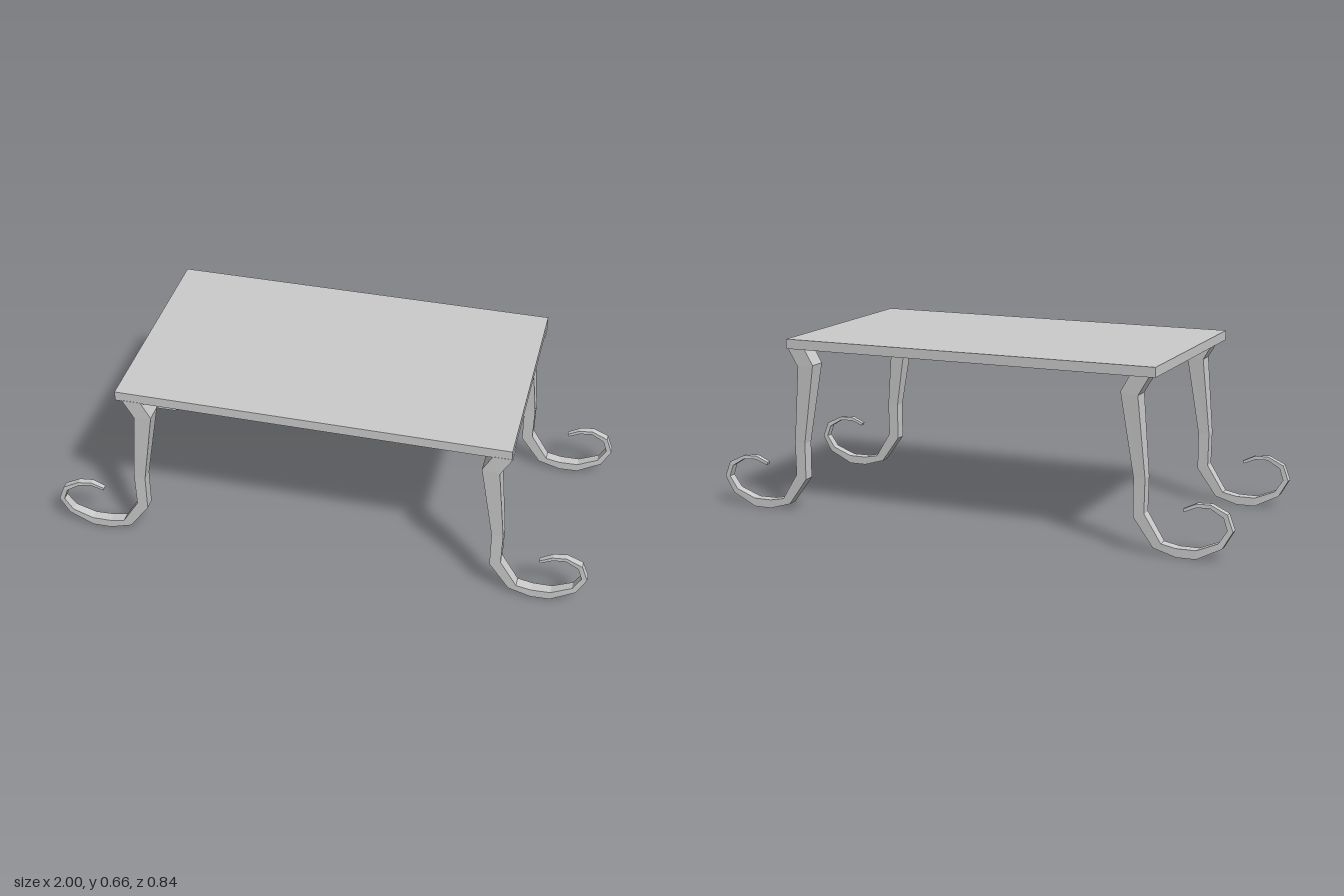
import * as THREE from 'three';

const material = new THREE.MeshStandardMaterial({ color: 0xcccccc, flatShading: true });

// Leg cross-sections from top to curled tip:
// [outer x, outer y, inner x, inner y, sideways drift, width]
const SECTIONS = [
  [0.705, 0.632, 0.635, 0.632, 0, 0.070],
  [0.663, 0.560, 0.600, 0.570, 0, 0.069],
  [0.690, 0.270, 0.648, 0.270, 0, 0.046],
  [0.688, 0.145, 0.648, 0.130, 0, 0.044],
  [0.750, 0.045, 0.722, 0.027, 0, 0.041],
  [0.805, 0.034, 0.805, 0.002, 0.001, 0.040],
  [0.875, 0.034, 0.875, 0.002, 0.003, 0.038],
  [0.950, 0.065, 0.965, 0.048, 0.008, 0.034],
  [0.980, 0.112, 1.000, 0.110, 0.011, 0.031],
  [0.965, 0.155, 0.978, 0.168, 0.012, 0.028],
  [0.918, 0.184, 0.920, 0.197, 0.008, 0.025],
  [0.872, 0.184, 0.870, 0.197, 0, 0.022],
  [0.828, 0.165, 0.824, 0.175, -0.004, 0.018],
];

// Four-sided loft through the sections; side is +1 or -1 along x
function legGeometry(side) {
  const rings = SECTIONS.map(([ox, oy, ix, iy, drift, w]) => {
    const z = -side * drift, h = w / 2;
    return [
      [side * ox, oy, z + h], [side * ix, iy, z + h],
      [side * ix, iy, z - h], [side * ox, oy, z - h],
    ];
  });
  const positions = [];
  const quad = (a, b, c, d) => {
    const order = side > 0 ? [a, b, c, a, c, d] : [a, c, b, a, d, c];
    order.forEach((p) => positions.push(...p));
  };
  for (let i = 0; i < rings.length - 1; i++) {
    for (let j = 0; j < 4; j++) {
      const k = (j + 1) % 4;
      quad(rings[i][j], rings[i][k], rings[i + 1][k], rings[i + 1][j]);
    }
  }
  // End caps
  const [a, b, c, d] = rings[0];
  quad(a, d, c, b);
  quad(...rings[rings.length - 1]);

  const geometry = new THREE.BufferGeometry();
  geometry.setAttribute('position', new THREE.Float32BufferAttribute(positions, 3));
  geometry.computeVertexNormals();
  return geometry;
}

export function createModel() {
  const model = new THREE.Group();
  model.name = 'table';

  // Flat top, slightly longer on one end
  const top = new THREE.Mesh(new THREE.BoxGeometry(1.43, 0.036, 0.838), material);
  top.position.set(-0.014, 0.647, 0);
  top.name = 'tableTop';
  model.add(top);

  // Curled legs at the four corners
  for (const side of [1, -1]) {
    const geometry = legGeometry(side);
    for (const [end, z] of [['front', 0.385], ['back', -0.37]]) {
      const leg = new THREE.Mesh(geometry, material);
      leg.position.z = z;
      leg.name = end + (side > 0 ? 'Left' : 'Right') + 'Leg';
      model.add(leg);
    }
  }
  return model;
}
